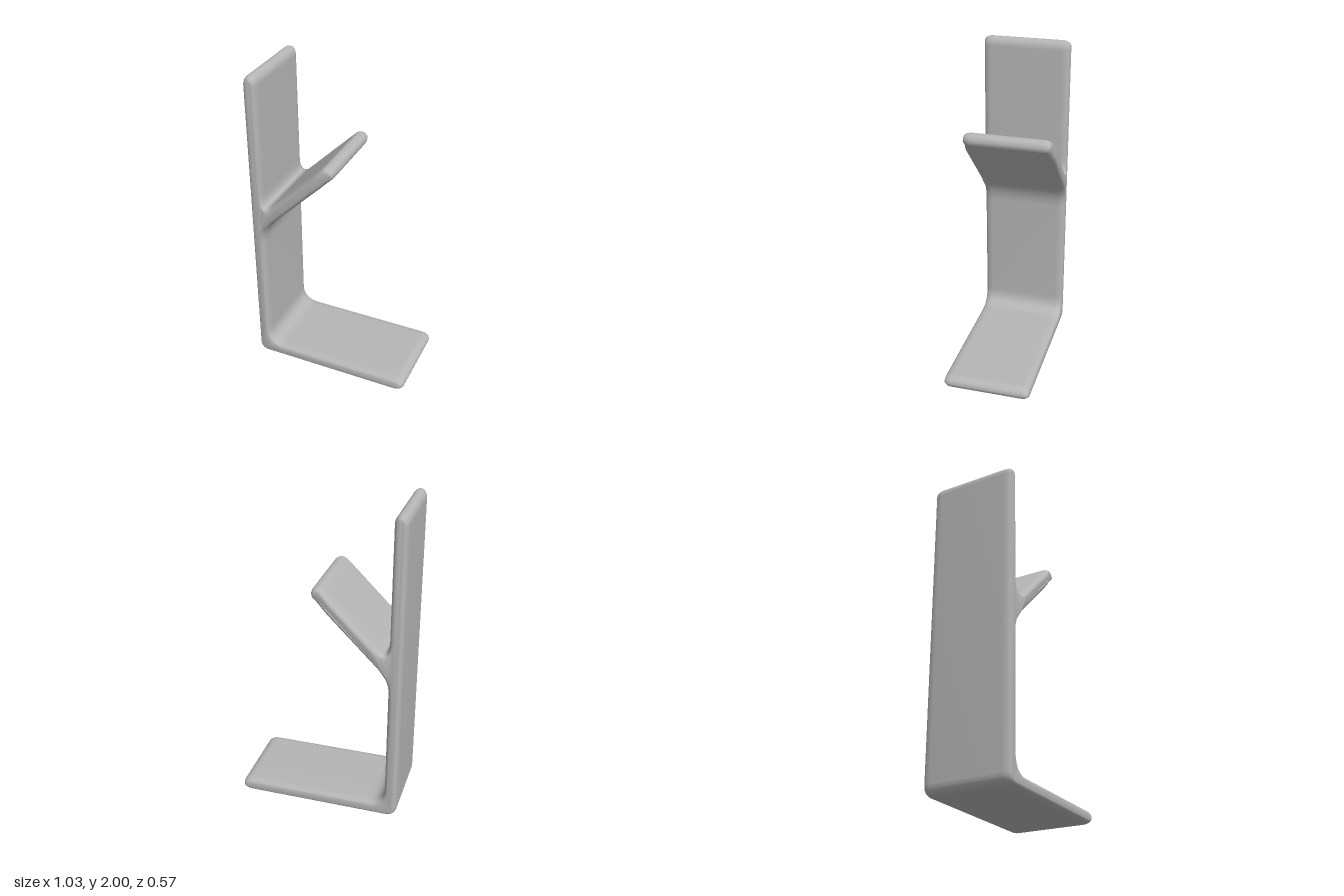
import * as THREE from 'three';
import { mergeVertices, toCreasedNormals } from 'three/addons/utils/BufferGeometryUtils.js';

const BACK = -0.516, FACE = -0.434; // rear and front faces of the upright
const BEVEL = 0.026, ROUND = 0.05, WIDTH = 0.544;

// Side profile: foot, upright and slanted arm in one blended outline
function standProfile() {
  const s = new THREE.Shape();
  // straight edge split into steps, so that it can be widened later
  const edge = (x, y) => {
    const p = s.currentPoint;
    s.quadraticCurveTo((p.x + x) / 2, (p.y + y) / 2, x, y);
  };
  s.moveTo(BACK, 0.075);
  s.quadraticCurveTo(BACK, 0.005, -0.44, 0.005);        // heel
  s.absellipse(0.455, 0.0475, 0.06, 0.0425, -Math.PI / 2, Math.PI / 2, false); // foot tip
  s.lineTo(-0.33, 0.09);
  s.quadraticCurveTo(FACE, 0.09, FACE, 0.2);            // foot fillet
  s.lineTo(FACE, 0.89);
  s.quadraticCurveTo(FACE, 0.993, -0.36, 1.067);        // fillet under the arm
  edge(0.025, 1.452);
  s.absarc(-0.005, 1.482, 0.0425, -Math.PI / 4, Math.PI * 0.75, false); // arm tip
  edge(-0.36, 1.187);
  s.quadraticCurveTo(FACE, 1.113, FACE, 1.24);          // fillet above the arm
  s.absellipse((BACK + FACE) / 2, 1.945, (FACE - BACK) / 2, 0.055, 0, Math.PI, false); // top
  return s;
}

// The arm is slightly wider than the upright and the foot
function widenArm(geometry) {
  const p = geometry.attributes.position;
  const step = THREE.MathUtils.smoothstep;
  for (let i = 0; i < p.count; i++) {
    const x = p.getX(i), y = p.getY(i);
    if (y > 1.53) continue;
    const w = step(x, -0.47, -0.4) * (1 - step(x, -0.07, 0.0)) * step(y, 0.95, 1.04);
    p.setZ(i, p.getZ(i) * (1 + 0.045 * w));
  }
}

export function createModel() {
  const group = new THREE.Group();
  group.name = 'stand';
  const grey = new THREE.MeshStandardMaterial({ color: 0xb5b5b5 });
  grey.name = 'light grey';

  let geometry = new THREE.ExtrudeGeometry(standProfile(), {
    depth: WIDTH - 2 * ROUND, steps: 1, curveSegments: 16,
    bevelEnabled: true, bevelSize: BEVEL, bevelOffset: -BEVEL,
    bevelThickness: ROUND, bevelSegments: 8,
  });
  geometry.translate(0, 0, ROUND - WIDTH / 2);
  geometry.deleteAttribute('uv');
  geometry.deleteAttribute('normal');
  geometry.clearGroups();
  geometry = mergeVertices(geometry, 1e-5);
  widenArm(geometry);
  geometry = toCreasedNormals(geometry, 0.8);

  const body = new THREE.Mesh(geometry, grey);
  body.name = 'standBody';
  group.add(body);
  return group;
}
